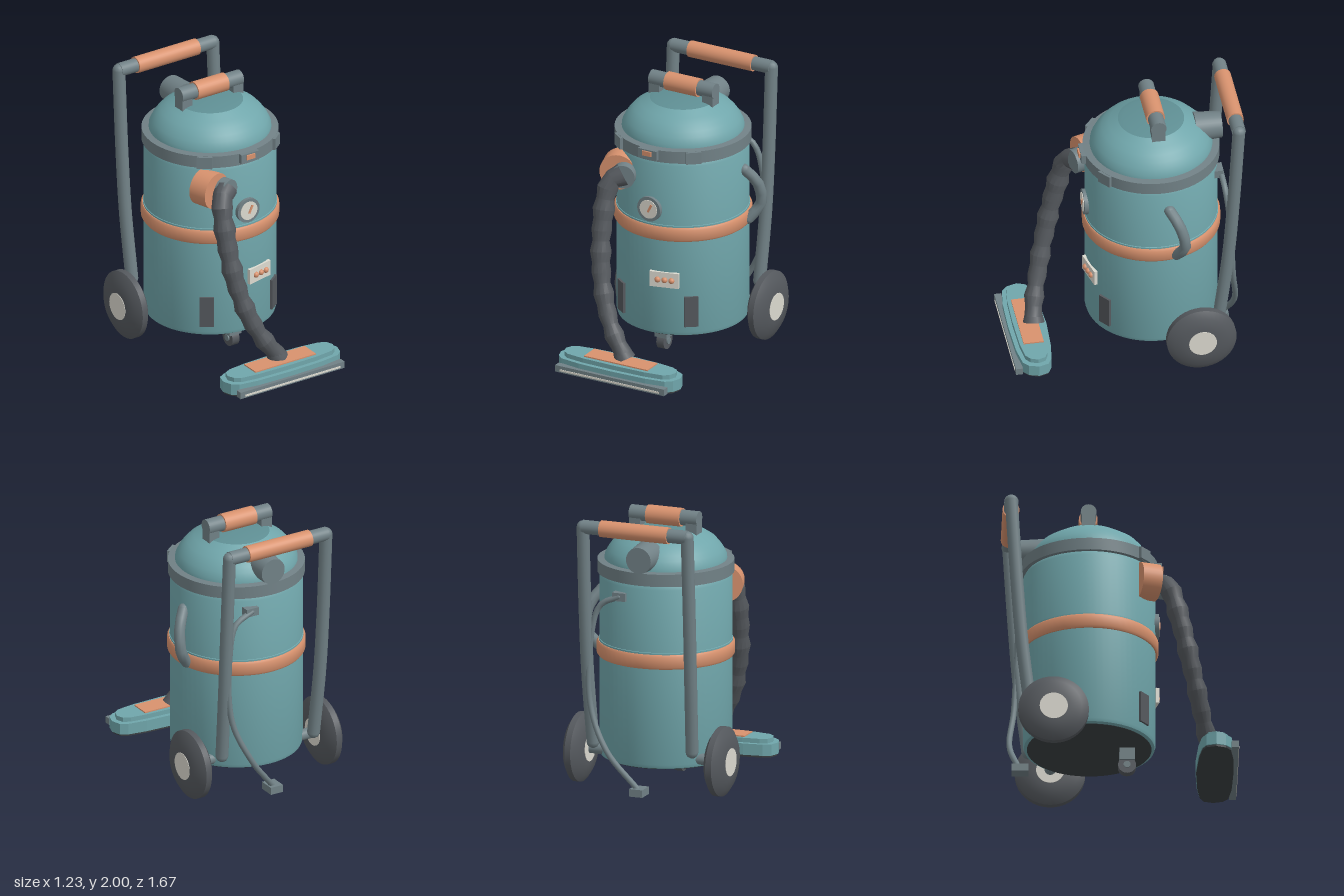
import * as THREE from 'three';
import { toCreasedNormals } from 'three/addons/utils/BufferGeometryUtils.js';

const mat = (color) => new THREE.MeshStandardMaterial({ color });
const teal = mat(0x70a6ab), tealDark = mat(0x5f8f94), copper = mat(0xd8926e), grey = mat(0x718186);
const dark = mat(0x55595e), black = mat(0x3c4043), cream = mat(0xdcdad0);
const V = (x, y, z) => new THREE.Vector3(x, y, z);
const AXIS_Z = -0.22; // the drum stands behind the origin

export function createModel() {
  const model = new THREE.Group();

  function add(name, geometry, material, x = 0, y = 0, z = 0) {
    const mesh = new THREE.Mesh(geometry, material);
    mesh.name = name;
    mesh.position.set(x, y, z);
    model.add(mesh);
    return mesh;
  }
  const box = (name, w, h, d, material, x, y, z) => add(name, new THREE.BoxGeometry(w, h, d), material, x, y, z);
  const lathe = (name, pts, material, segments = 64) => add(name,
    toCreasedNormals(new THREE.LatheGeometry(pts.map(([r, y]) => new THREE.Vector2(r, y)), segments), 0.6),
    material, 0, 0, AXIS_Z);
  // Cylinder between two points
  function rod(name, a, b, r, material, r2 = r, segments = 32) {
    const mesh = add(name, new THREE.CylinderGeometry(r2, r, a.distanceTo(b), segments), material);
    mesh.position.copy(a).lerp(b, 0.5);
    mesh.quaternion.setFromUnitVectors(V(0, 1, 0), b.clone().sub(a).normalize());
    return mesh;
  }
  // Bent pipe with ball joints at its ends
  function pipe(name, pts, r, material, steps = 24) {
    const curve = new THREE.CatmullRomCurve3(pts, false, 'centripetal');
    add(name, new THREE.TubeGeometry(curve, steps, r, 12), material);
    for (const p of [pts[0], pts[pts.length - 1]])
      add(name + 'End', new THREE.SphereGeometry(r, 12, 8), material, p.x, p.y, p.z);
  }
  // Box lying against the drum at a given angle from the front
  function onDrum(name, angle, radius, w, h, d, material, y) {
    const mesh = box(name, w, h, d, material, Math.sin(angle) * radius, y, AXIS_Z + Math.cos(angle) * radius);
    mesh.rotation.y = angle;
    return mesh;
  }

  // Drum
  lathe('drum', [[0.44, 0.19], [0.462, 0.2], [0.47, 0.225], [0.47, 1.5], [0.455, 1.53], [0, 1.53]], teal);
  lathe('drumBottom', [[0, 0.188], [0.44, 0.188], [0.442, 0.192]], black);
  lathe('bellyBand', [[0.468, 0.925], [0.48, 0.925], [0.49, 0.94], [0.49, 1.015], [0.48, 1.03], [0.468, 1.03]], copper);
  lathe('bandSeam', [[0.468, 1.03], [0.475, 1.03], [0.475, 1.042], [0.468, 1.045]], teal);

  // Lid
  lathe('lidRim', [[0.45, 1.53], [0.485, 1.53], [0.485, 1.62], [0.43, 1.625]], grey);
  lathe('lidDome', [[0.435, 1.62], [0.432, 1.65], [0.41, 1.695], [0.385, 1.73], [0.35, 1.768],
    [0.3, 1.8], [0.235, 1.838]], teal);
  lathe('lidCap', [[0.235, 1.838], [0.2, 1.846], [0, 1.852]], tealDark);
  for (const angle of [-0.67, 0, 0.67])
    onDrum('rimClip', angle, angle ? 0.48 : 0.49, angle ? 0.11 : 0.15, angle ? 0.088 : 0.07, 0.045, grey, angle ? 1.575 : 1.585);
  box('clipButton', 0.07, 0.035, 0.02, copper, 0, 1.593, 0.294);

  // Lid handle
  rod('lidHandleBar', V(-0.26, 1.93, AXIS_Z - 0.01), V(0.26, 1.93, AXIS_Z - 0.01), 0.056, grey);
  rod('lidHandleGrip', V(-0.13, 1.93, AXIS_Z - 0.01), V(0.13, 1.93, AXIS_Z - 0.01), 0.067, copper);
  for (const s of [-1, 1]) box('lidHandlePost', 0.085, 0.12, 0.095, grey, s * 0.217, 1.88, AXIS_Z - 0.01);

  // Exhaust outlet on the back of the lid
  rod('exhaustOutlet', V(0, 1.715, -0.53), V(0, 1.715, -0.72), 0.108, grey, 0.095);

  // Push handle
  rod('pushBar', V(-0.4, 1.94, -0.78), V(0.4, 1.94, -0.78), 0.05, grey);
  rod('pushGrip', V(-0.26, 1.94, -0.78), V(0.26, 1.94, -0.78), 0.06, copper);
  for (const s of [-1, 1])
    pipe('pushLeg', [V(s * 0.4, 1.94, -0.78), V(s * 0.4, 1.3, -0.74), V(s * 0.395, 0.85, -0.705),
      V(s * 0.38, 0.34, -0.645)], 0.046, grey);

  // Rear wheels and axle
  rod('axle', V(-0.5, 0.25, -0.485), V(0.5, 0.25, -0.485), 0.04, grey);
  const tyre = [[0, -0.07], [0.12, -0.07], [0.2, -0.055], [0.25, -0.022], [0.25, 0.022], [0.2, 0.055], [0.12, 0.07], [0, 0.07]];
  for (const s of [-1, 1]) {
    const wheel = lathe('rearWheel', tyre, dark, 40);
    wheel.rotation.z = Math.PI / 2;
    wheel.position.set(s * 0.54, 0.25, -0.485);
    rod('wheelHub', V(s * 0.466, 0.25, -0.485), V(s * 0.613, 0.25, -0.485), 0.1, cream);
  }

  // Front caster
  box('casterPost', 0.1, 0.1, 0.11, grey, 0, 0.15, 0.048);
  rod('casterWheel', V(-0.03, 0.065, 0.047), V(0.03, 0.065, 0.047), 0.064, dark, 0.064, 20);
  rod('casterHub', V(-0.04, 0.065, 0.047), V(0.04, 0.065, 0.047), 0.025, grey, 0.025, 16);

  // Side handle
  pipe('sideHandle', [V(0.47, 1.36, -0.27), V(0.54, 1.25, -0.335), V(0.55, 1.08, -0.37), V(0.475, 0.965, -0.32)], 0.04, grey, 6);

  // Power cord
  box('cordSocket', 0.1, 0.06, 0.07, grey, 0.16, 1.43, -0.67);
  pipe('powerCord', [V(0.16, 1.43, -0.69), V(0.3, 1.36, -0.7), V(0.36, 1.15, -0.72), V(0.36, 0.65, -0.745),
    V(0.22, 0.32, -0.78), V(0.01, 0.05, -0.72)], 0.021, grey, 32);
  box('cordPlug', 0.1, 0.055, 0.12, grey, 0, 0.028, -0.71);

  // Gauge
  rod('gaugeRim', V(0, 1.155, 0.23), V(0, 1.155, 0.272), 0.093, grey);
  rod('gaugeDial', V(0, 1.155, 0.23), V(0, 1.155, 0.277), 0.07, cream);
  box('gaugeNeedle', 0.016, 0.065, 0.008, copper, 0.012, 1.165, 0.279).rotation.z = -0.45;

  // Control plate with three knobs
  onDrum('controlPlate', 0.236, 0.472, 0.215, 0.115, 0.025, cream, 0.625);
  for (const x of [-0.05, 0, 0.05])
    add('knob', new THREE.SphereGeometry(0.022, 16, 12), copper, 0.117 + x, 0.625, 0.25 - x * 0.24);

  // Lower vents
  for (const s of [-1, 1]) onDrum('lowerVent', s * 0.64, 0.472, 0.1, 0.23, 0.025, dark, 0.385);

  // Hose inlet
  const n = V(0.3, 0, 0.954), inlet = V(-0.275, 1.375, 0.215);
  const along = (d) => inlet.clone().addScaledVector(n, d);
  rod('inletCollar', along(-0.1), along(0.04), 0.132, copper);
  rod('inletStub', along(0.03).add(V(0.055, 0, 0)), along(0.1).add(V(0.055, 0, 0)), 0.088, grey);

  // Lumpy hose: each ring of a tube is swollen or pinched in turn
  const path = new THREE.CatmullRomCurve3([V(-0.205, 1.38, 0.28), V(-0.27, 1.34, 0.335), V(-0.29, 1.06, 0.42),
    V(-0.255, 0.72, 0.5), V(-0.17, 0.44, 0.565), V(-0.07, 0.26, 0.61), V(0.0, 0.17, 0.625)]);
  const rings = 18, sides = 14;
  const hose = new THREE.TubeGeometry(path, rings, 1, sides);
  const pos = hose.attributes.position, v = V(0, 0, 0);
  for (let i = 0; i <= rings; i++) {
    const c = path.getPointAt(i / rings);
    const r = 0.075 - 0.013 * (i / rings) + [0.009, -0.004, 0.003, -0.009][i % 4];
    for (let j = 0; j <= sides; j++) {
      const k = i * (sides + 1) + j;
      v.fromBufferAttribute(pos, k).sub(c).multiplyScalar(r).add(c);
      pos.setXYZ(k, v.x, v.y, v.z);
    }
  }
  dark.side = THREE.DoubleSide;
  add('hose', toCreasedNormals(hose, 0.5), dark);
  rod('hoseCuff', V(0.01, 0.135, 0.625), V(-0.025, 0.2, 0.62), 0.078, dark, 0.06, 14);

  // Floor nozzle: stacked slabs of one rounded outline
  const outline = [[0, 0.137], [0.27, 0.122], [0.41, 0.1], [0.465, 0.07], [0.487, 0.0], [0.465, -0.07], [0.42, -0.108],
    [0.27, -0.13], [0, -0.137]];
  const ring = [...outline, ...outline.slice(1, -1).reverse().map(([x, y]) => [-x, y])];
  function slab(name, sx, sz, y, h, material) {
    const shape = new THREE.Shape(ring.map(([x, z]) => new THREE.Vector2(x * sx, z * sz)));
    const g = new THREE.ExtrudeGeometry(shape, { depth: h, bevelEnabled: false });
    add(name, g.rotateX(-Math.PI / 2), material, 0, y, 0.668);
  }
  slab('nozzleSole', 0.98, 0.96, 0.008, 0.02, black);
  slab('nozzleBase', 1, 1, 0.022, 0.083, teal);
  slab('nozzleTop', 0.92, 0.77, 0.105, 0.033, teal);
  box('nozzlePlate', 0.515, 0.012, 0.145, copper, 0, 0.141, 0.668);
  box('nozzleBumper', 0.885, 0.05, 0.05, grey, 0, 0.043, 0.803);
  box('bumperStrip', 0.81, 0.014, 0.008, cream, 0, 0.036, 0.828);

  return model;
}
